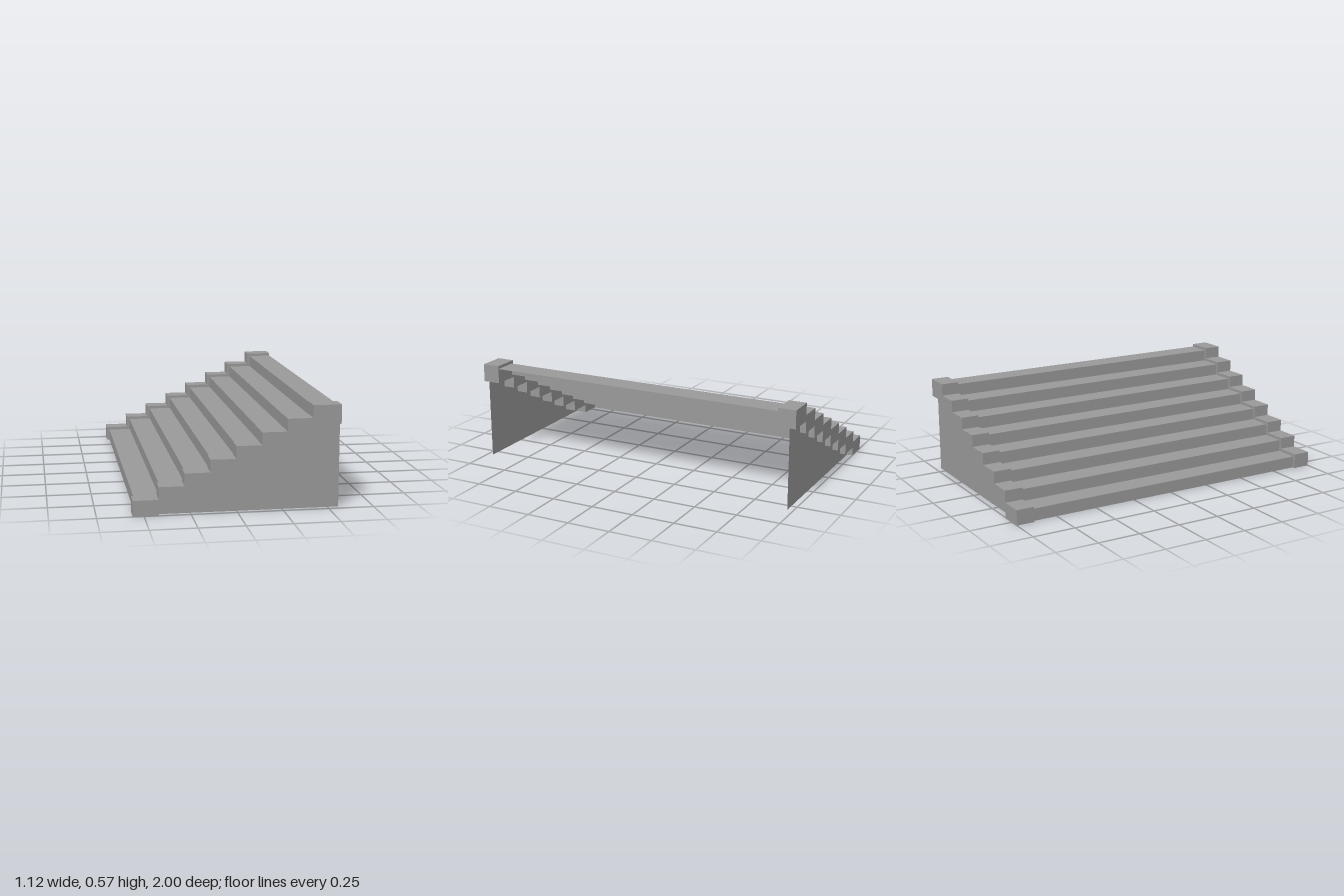
import * as THREE from 'three';

const STEPS = 8, RUN = 0.138, RISE = 0.069;
const X0 = -0.56, X1 = 0.56;   // low and high end
const TOP0 = 0.087;            // height of the first kerb step
const DROP = 0.105;            // thickness of the kerb
const INSET = 0.017;           // stairs lie this far inside the kerb outline
const INNER = 0.896, OUTER = 1, PANEL = 0.966;

// Stepped line climbing from the low end to the high end
function stairLine(first, x0, y0, top0) {
  const points = [];
  for (let i = first; i < STEPS; i++) {
    const x = x0 + (i - first) * RUN;
    const y = top0 + (i - first) * RISE;
    points.push([x, i === first ? y0 : y - RISE], [x, y]);
  }
  points.push([X1, top0 + (STEPS - 1 - first) * RISE]);
  return points;
}

const toShape = (points) => new THREE.Shape(points.map(([x, y]) => new THREE.Vector2(x, y)));

export function createModel() {
  const model = new THREE.Group();
  const solid = new THREE.MeshStandardMaterial({ color: 0x999999, flatShading: true });
  const sheet = new THREE.MeshStandardMaterial({ color: 0x999999, flatShading: true, side: THREE.DoubleSide });

  const add = (name, geometry, material, z = 0) => {
    const mesh = new THREE.Mesh(geometry, material);
    mesh.name = name;
    mesh.position.z = z;
    model.add(mesh);
  };

  const kerbTop = stairLine(0, X0, 0, TOP0);
  const kerbUnder = stairLine(1, X0 + RUN, 0, TOP0 + RISE - DROP);

  // Stepped kerbs along both sides
  const kerb = new THREE.ExtrudeGeometry(toShape([...kerbTop, ...kerbUnder.slice().reverse()]), {
    depth: OUTER - INNER, bevelEnabled: false,
  });
  add('frontKerb', kerb, solid, INNER);
  add('backKerb', kerb, solid, -OUTER);

  // Thin side panels filling the space below the kerbs
  const panel = new THREE.ShapeGeometry(toShape([...kerbUnder, [X1, 0]]));
  add('frontPanel', panel, sheet, PANEL);
  add('backPanel', panel, sheet, -PANEL);

  // Folded sheet of risers and treads between the kerbs
  const fold = stairLine(0, X0 + INSET, 0, TOP0 - INSET);
  const position = [], index = [];
  for (let i = 0; i < fold.length - 1; i++) {
    const [ax, ay] = fold[i], [bx, by] = fold[i + 1];
    position.push(ax, ay, INNER, bx, by, INNER, bx, by, -INNER, ax, ay, -INNER);
    const k = i * 4;
    index.push(k, k + 1, k + 2, k, k + 2, k + 3);
  }
  const stairs = new THREE.BufferGeometry();
  stairs.setAttribute('position', new THREE.Float32BufferAttribute(position, 3));
  stairs.setIndex(index);
  stairs.computeVertexNormals();
  add('stairs', stairs, sheet);

  return model;
}
